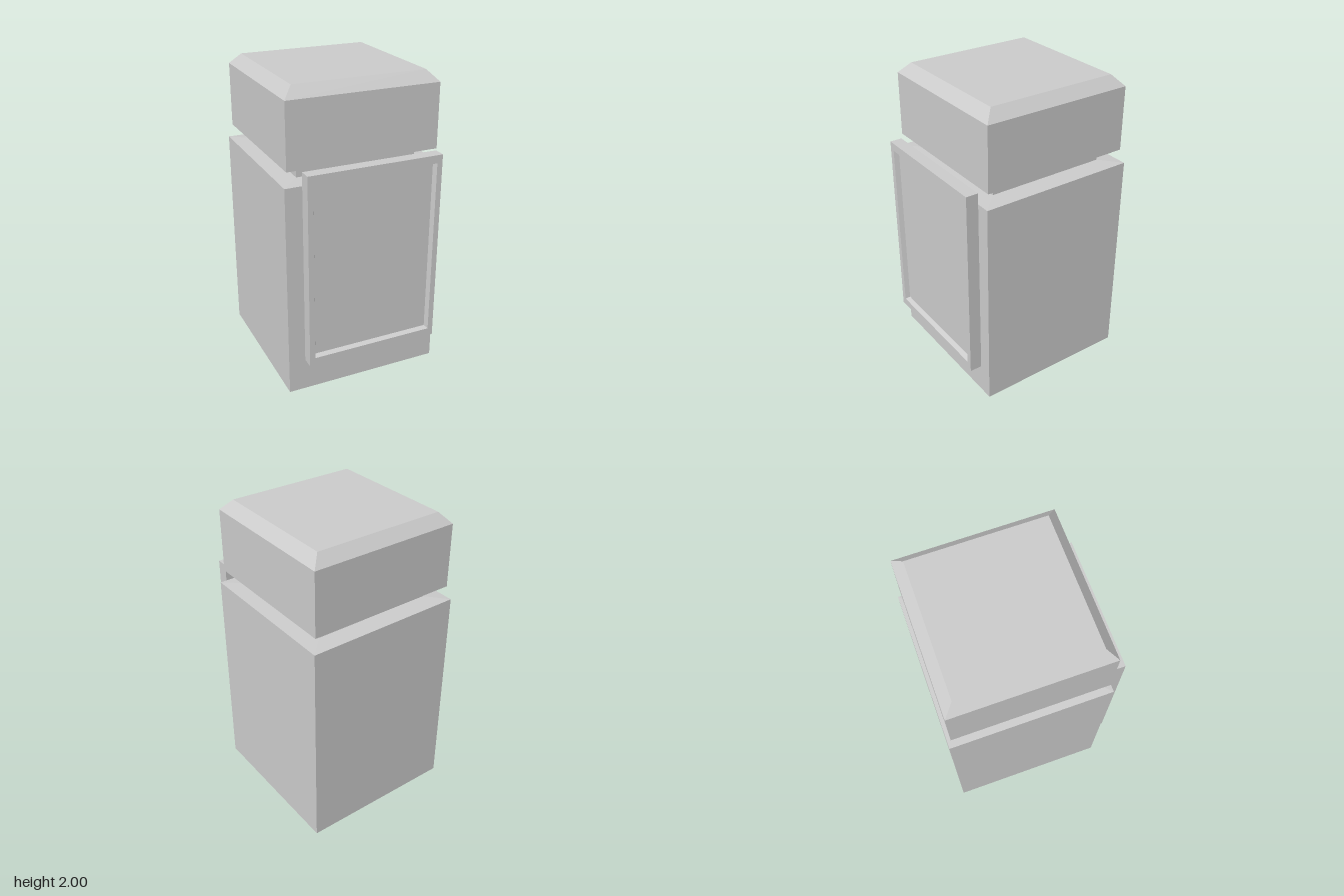
import * as THREE from 'three';

const CORNERS = [[1, 1], [1, -1], [-1, -1], [-1, 1]];

// Closed solid through rectangular sections [halfX, halfZ, y], capped at both ends
function rectLoft(sections) {
  const pos = [];
  const rings = sections.map(([hx, hz, y]) => CORNERS.map(([x, z]) => [x * hx, y, z * hz]));
  const quad = (a, b, c, d) => pos.push(...a, ...b, ...c, ...a, ...c, ...d);
  for (let s = 0; s < rings.length - 1; s++) {
    for (let i = 0; i < 4; i++) {
      const j = (i + 1) % 4;
      quad(rings[s][i], rings[s][j], rings[s + 1][j], rings[s + 1][i]);
    }
  }
  const [first, last] = [rings[0], rings[rings.length - 1]];
  quad(first[3], first[2], first[1], first[0]);
  quad(...last);
  const geometry = new THREE.BufferGeometry();
  geometry.setAttribute('position', new THREE.Float32BufferAttribute(pos, 3));
  geometry.computeVertexNormals();
  return geometry;
}

export function createModel() {
  const model = new THREE.Group();
  model.name = 'squareJar';
  const material = new THREE.MeshStandardMaterial({ color: 0xcccccc, flatShading: true });

  const add = (name, geometry, x, y, z) => {
    const mesh = new THREE.Mesh(geometry, material);
    mesh.name = name;
    mesh.position.set(x, y, z);
    model.add(mesh);
  };
  // Square parts stacked on the jar's axis, from [half width, height] profiles
  const addSquare = (name, profile) =>
    add(name, rectLoft(profile.map(([h, y]) => [h, h, y])), 0, 0, -0.052);

  // Body with a slightly raised shoulder, neck, and lid with bevelled top and underside
  addSquare('body', [[0.523, 0], [0.523, 1.42], [0.4, 1.428]]);
  addSquare('neck', [[0.4, 1.428], [0.4, 1.48]]);
  addSquare('lid', [[0.4, 1.48], [0.5, 1.51], [0.5, 1.93], [0.435, 2]]);

  // Front label panel: the last sections step back into a bevelled recess
  const panel = rectLoft([
    [0.4445, 0.64, 0],
    [0.4445, 0.64, 0.08],
    [0.4085, 0.5875, 0.08],
    [0.3955, 0.575, 0.05],
  ]).rotateX(Math.PI / 2);
  add('labelPanel', panel, 0.022, 0.877, 0.495);

  return model;
}
